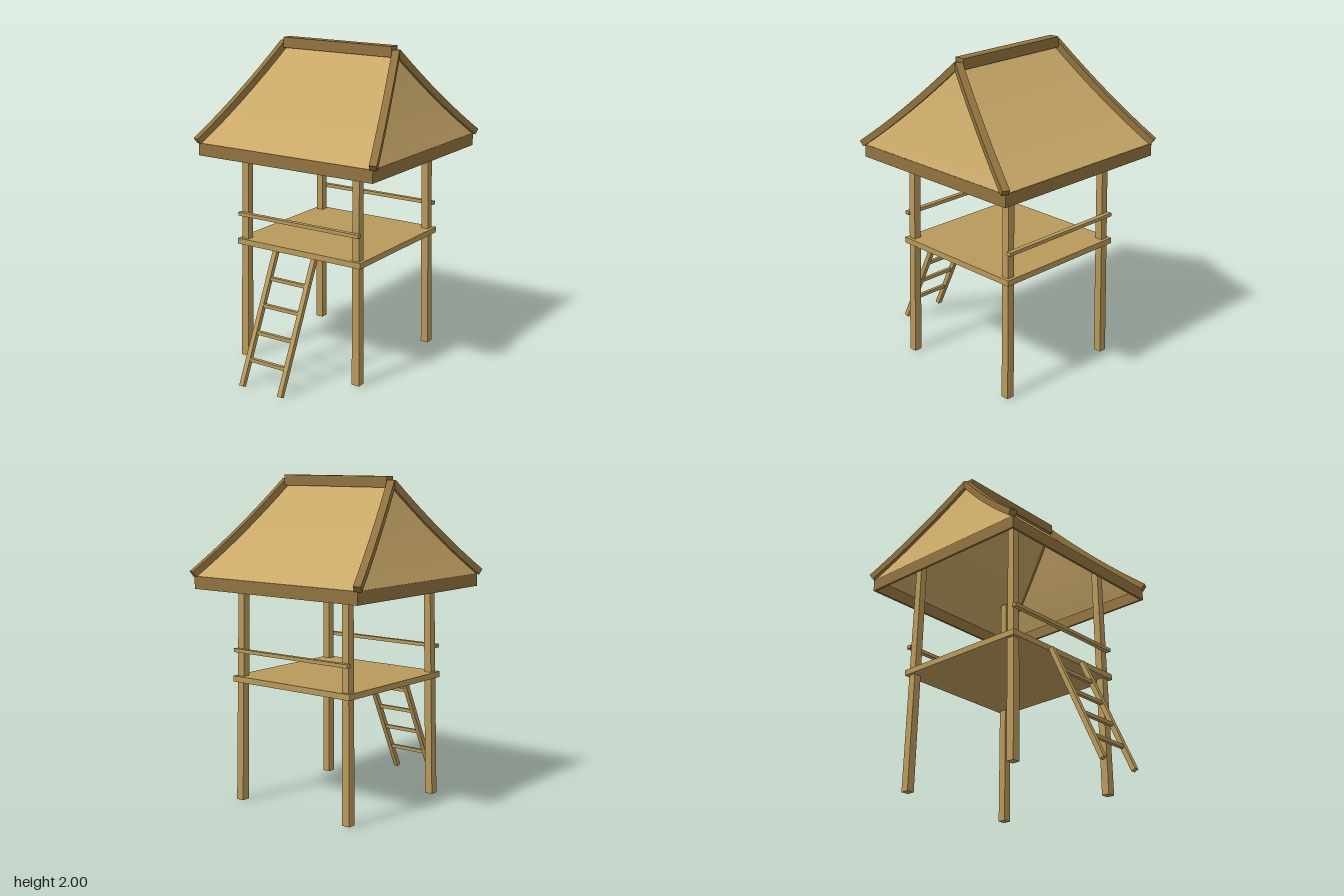
import * as THREE from 'three';

const lerp = THREE.MathUtils.lerp;

export function createModel() {
  const model = new THREE.Group();
  const tower = new THREE.Group();
  tower.name = 'tower';
  tower.position.z = -0.11;
  model.add(tower);

  const material = (name, color, extra = {}) => {
    const m = new THREE.MeshStandardMaterial({ color, ...extra });
    m.name = name;
    return m;
  };
  const wood = material('pale wood', 0xb8995b);
  const thatch = material('thatch', 0xc9a868, { side: THREE.DoubleSide });
  const trim = material('brown trim', 0x91733f);

  const add = (name, geometry, mat, x = 0, y = 0, z = 0) => {
    const mesh = new THREE.Mesh(geometry, mat);
    mesh.name = name;
    mesh.position.set(x, y, z);
    tower.add(mesh);
    return mesh;
  };
  const box = (name, mat, w, h, d, x, y, z) =>
    add(name, new THREE.BoxGeometry(w, h, d), mat, x, y, z);

  // Rectangular beam swept along a path function point(t)
  const beam = (name, mat, point, w, h, segments, t0 = 0, t1 = 1) => {
    const geo = new THREE.BoxGeometry(w, h, 1, 1, 1, segments).toNonIndexed();
    const pos = geo.attributes.position;
    const worldUp = new THREE.Vector3(0, 1, 0);
    for (let i = 0; i < pos.count; i++) {
      const t = lerp(t0, t1, pos.getZ(i) + 0.5);
      const dir = point(t + 0.01).sub(point(t - 0.01)).normalize();
      const side = worldUp.clone().cross(dir).normalize();
      const up = dir.clone().cross(side);
      const p = point(t).addScaledVector(side, pos.getX(i)).addScaledVector(up, pos.getY(i));
      pos.setXYZ(i, p.x, p.y, p.z);
    }
    geo.computeVertexNormals();
    return add(name, geo, mat);
  };

  // Four legs, leaning inwards and slightly tapered
  for (const sx of [-1, 1]) for (const sz of [-1, 1]) {
    const geo = new THREE.BoxGeometry(1, 1.52, 1).toNonIndexed();
    const pos = geo.attributes.position;
    for (let i = 0; i < pos.count; i++) {
      const t = pos.getY(i) / 1.52 + 0.5;
      const offset = lerp(0.419, 0.398, t), width = lerp(0.051, 0.046, t);
      pos.setXYZ(i, sx * offset + pos.getX(i) * width, lerp(0.01, 1.53, t),
        sz * offset + pos.getZ(i) * width);
    }
    geo.computeVertexNormals();
    add('leg', geo, wood);
  }

  // Platform and the two rails
  box('platform', wood, 0.905, 0.036, 0.905, 0, 0.772, 0);
  for (const s of [-1, 1]) box('rail', wood, 0.88, 0.022, 0.03, 0, 0.95, s * 0.443);

  // Ladder
  const ladderPoint = (x, t) => new THREE.Vector3(x, lerp(0.008, 0.763, t), lerp(0.825, 0.472, t));
  for (const s of [-1, 1])
    beam('ladderSide', wood, t => ladderPoint(s * 0.141, t), 0.03, 0.03, 1);
  for (let i = 0; i < 4; i++) {
    const p = ladderPoint(0, 0.2 + i * 0.2);
    box('rung', wood, 0.27, 0.022, 0.022, 0, p.y, p.z);
  }

  // Sagging hipped roof: half width, half depth and height at t (eave 0, ridge 1)
  const halfX = t => lerp(0.62, 0.4, t);
  const halfZ = t => lerp(0.595, 0, t);
  const roofY = t => lerp(1.4, 1.945, t) - 0.08 * t * (1 - t);

  for (let k = 0; k < 4; k++) {
    const [across, out] = k % 2 ? [halfZ, halfX] : [halfX, halfZ];
    const geo = new THREE.PlaneGeometry(1, 1, 1, 8);
    const pos = geo.attributes.position;
    for (let i = 0; i < pos.count; i++) {
      const t = pos.getY(i) + 0.5;
      pos.setXYZ(i, pos.getX(i) * 2 * across(t), roofY(t), out(t));
    }
    geo.rotateY(k * Math.PI / 2);
    geo.computeVertexNormals();
    add('roofSlope', geo, thatch);
  }

  // Boards along the hips and the ridge
  for (const sx of [-1, 1]) for (const sz of [-1, 1])
    beam('hipBoard', trim,
      t => new THREE.Vector3(sx * (halfX(t) + 0.005), roofY(t) + 0.02, sz * halfZ(t)),
      0.045, 0.04, 8, -0.015, 1);
  box('ridgeBoard', trim, 0.785, 0.065, 0.066, 0, 1.9675, 0);

  // Fascia boards around the eaves
  for (const s of [-1, 1]) {
    box('fascia', trim, 1.244, 0.077, 0.014, 0, 1.3625, s * 0.59);
    box('fascia', trim, 0.014, 0.077, 1.166, s * 0.615, 1.3625, 0);
  }

  return model;
}
